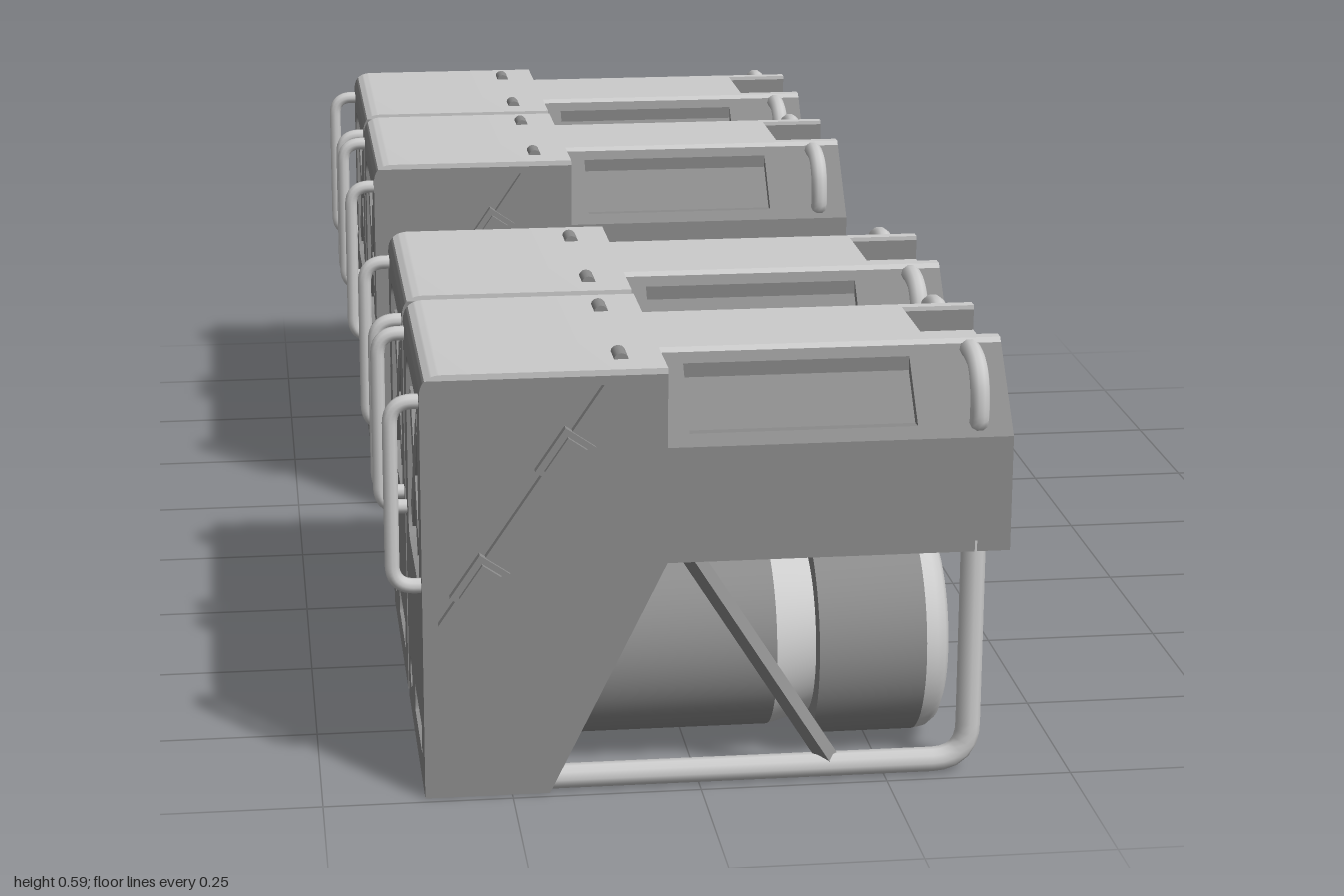
import * as THREE from 'three';
import { toCreasedNormals } from 'three/addons/utils/BufferGeometryUtils.js';

const light = new THREE.MeshStandardMaterial({ color: 0xcccccc });
const dark = new THREE.MeshStandardMaterial({ color: 0x8c8c8c });
const HALF = 0.185; // half width of one unit
const SKIN = 0.012; // thickness of the outer plates

function add(parent, name, material, geometry, x = 0, y = 0, z = 0) {
  const mesh = new THREE.Mesh(geometry, material);
  mesh.name = name;
  mesh.position.set(x, y, z);
  parent.add(mesh);
  return mesh;
}

const vectors = (pts) => pts.map(([x, y]) => new THREE.Vector2(x, y));

function extrude(shape, depth) {
  const g = new THREE.ExtrudeGeometry(shape, { depth, bevelEnabled: false, curveSegments: 8 });
  return toCreasedNormals(g, 0.6);
}

// Extrudes a cross-section (-z, y) along x
const extrudeX = (shape, x0, x1) => extrude(shape, x1 - x0).rotateY(Math.PI / 2).translate(x0, 0, 0);

// Round tube along straight runs with rounded corners
function bentTube(points, bend, radius) {
  const p = points.map((a) => new THREE.Vector3(...a));
  const path = new THREE.CurvePath();
  let last = p[0];
  for (let i = 1; i < p.length - 1; i++) {
    const a = p[i].clone().add(p[i - 1].clone().sub(p[i]).setLength(bend));
    const b = p[i].clone().add(p[i + 1].clone().sub(p[i]).setLength(bend));
    path.add(new THREE.LineCurve3(last, a));
    path.add(new THREE.QuadraticBezierCurve3(a, p[i], b));
    last = b;
  }
  path.add(new THREE.LineCurve3(last, p[p.length - 1]));
  return new THREE.TubeGeometry(path, 64, radius, 10);
}

function roundedHole(cx, cy, w, h, r) {
  const s = new THREE.Path();
  const x0 = cx - w / 2, x1 = cx + w / 2, y0 = cy - h / 2, y1 = cy + h / 2;
  s.moveTo(x0 + r, y0);
  s.lineTo(x1 - r, y0).quadraticCurveTo(x1, y0, x1, y0 + r);
  s.lineTo(x1, y1 - r).quadraticCurveTo(x1, y1, x1 - r, y1);
  s.lineTo(x0 + r, y1).quadraticCurveTo(x0, y1, x0, y1 - r);
  s.lineTo(x0, y0 + r).quadraticCurveTo(x0, y0, x0 + r, y0);
  return s;
}

// Side outline of the cab below the roof; back is the x of its rear wall
function cabProfile(back) {
  const s = new THREE.Shape();
  s.moveTo(back, 0);
  s.lineTo(-0.2, 0).lineTo(-0.045, 0.315).lineTo(-0.045, 0.572).lineTo(-0.358, 0.572);
  s.quadraticCurveTo(-0.365, 0.565, -0.365, 0.55);
  s.lineTo(back, 0.55).lineTo(back, 0);
  return s;
}

function buildCab(unit) {
  const cab = new THREE.Group();
  cab.name = 'cab';
  unit.add(cab);
  const inner = HALF - SKIN;
  add(cab, 'cabCore', dark, extrude(cabProfile(-0.365 + SKIN), inner * 2), 0, 0, -inner);

  const roof = new THREE.Shape();
  roof.moveTo(-0.045, 0.572);
  roof.lineTo(-0.045, 0.58).lineTo(-0.335, 0.58).quadraticCurveTo(-0.35, 0.58, -0.358, 0.572);
  add(cab, 'cabRoof', light, extrude(roof, HALF * 2), 0, 0, -HALF);

  // Side skins with a sunken triangular panel
  const skin = cabProfile(-0.365);
  const hole = new THREE.Path();
  hole.moveTo(-0.345, 0.24);
  hole.lineTo(-0.345, 0.53).quadraticCurveTo(-0.345, 0.56, -0.315, 0.56);
  hole.lineTo(-0.127, 0.56).lineTo(-0.345, 0.24);
  skin.holes.push(hole);
  for (const side of [-1, 1]) {
    add(cab, 'cabSkin', dark, extrude(skin, SKIN), 0, 0, side > 0 ? inner : -HALF);
    // Latches along the diagonal seam
    for (const [x, y] of [[-0.178, 0.463], [-0.29, 0.295]]) {
      const latch = new THREE.Group();
      latch.name = 'latch';
      latch.position.set(x, y, side * 0.184);
      latch.rotation.z = 0.97;
      add(latch, 'latchPlate', dark, new THREE.BoxGeometry(0.07, 0.048, 0.012));
      add(latch, 'latchClasp', dark, new THREE.BoxGeometry(0.054, 0.03, 0.012), 0, 0, side * 0.007);
      cab.add(latch);
    }
    // Rear grab handles
    const grip = [[-0.36, 0.29, 0], [-0.402, 0.29, 0], [-0.402, 0.54, 0], [-0.36, 0.54, 0]];
    add(cab, 'rearHandle', light, bentTube(grip, 0.03, 0.01), 0, 0, side * 0.163);
    // Roof lugs
    add(cab, 'roofLug', dark, new THREE.CylinderGeometry(0.01, 0.01, 0.04, 12), -0.1, 0.578, side * 0.118)
      .rotation.x = Math.PI / 2;
  }

  // Rear plate with sunken hatch, vent slot and round port
  const rear = new THREE.Shape(vectors([[-inner, 0], [inner, 0], [inner, 0.55], [-inner, 0.55]]));
  const port = new THREE.Path();
  port.absarc(0.12, 0.06, 0.022, 0, Math.PI * 2);
  rear.holes.push(roundedHole(0, 0.395, 0.25, 0.26, 0.035), roundedHole(-0.05, 0.06, 0.155, 0.04, 0.005), port);
  add(cab, 'rearPlate', dark, extrudeX(rear, -0.365, -0.365 + SKIN));
  for (const side of [-1, 1]) {
    add(cab, 'hatchRib', dark, new THREE.BoxGeometry(0.012, 0.23, 0.036), -0.357, 0.395, 0).rotation.x = side * 0.7;
  }
}

function buildHousing(unit) {
  const housing = new THREE.Group();
  housing.name = 'housing';
  unit.add(housing);
  const w = HALF - 0.001, base = [w, 0.315], low = [w, 0.472], high = [0.0935, 0.574];
  // Point on the sloping shoulder, sunk by d
  const shoulder = (t, d) => {
    const dx = high[0] - low[0], dy = high[1] - low[1], l = Math.hypot(dx, dy);
    return [low[0] + dx * t - (dy / l) * d, low[1] + dy * t + (dx / l) * d];
  };
  // Mirrors the right half of a cross-section
  const section = (half) => new THREE.Shape(vectors([...half, ...half.map(([z, y]) => [-z, y]).reverse()]));
  const plain = section([base, low, high]);
  const pockets = section([base, low, shoulder(0.14, 0), shoulder(0.22, 0.014), shoulder(0.78, 0.014), shoulder(0.88, 0), high]);
  const notched = section([base, low, high, [0.072, 0.574], [0.072, 0.543]]);
  add(housing, 'housingRear', dark, extrudeX(plain, -0.045, -0.015));
  add(housing, 'housingPockets', dark, extrudeX(pockets, -0.015, 0.285));
  add(housing, 'housingMiddle', dark, extrudeX(plain, 0.285, 0.31));
  add(housing, 'housingNose', dark, extrudeX(notched, 0.31, 0.41));

  // Light top surfaces around and inside the nose recess
  add(housing, 'housingRoof', light, extrudeX(section([high, [0.088, 0.58]]), -0.045, 0.31));
  add(housing, 'recessFloor', light, new THREE.BoxGeometry(0.1, 0.004, 0.144), 0.36, 0.543, 0);
  for (const s of [-1, 1]) {
    const strip = [high, [0.088, 0.58], [0.072, 0.58], [0.072, 0.574]].map(([z, y]) => [s * z, y]);
    add(housing, 'noseRoof', light, extrudeX(new THREE.Shape(vectors(strip)), 0.31, 0.41));
    // Lifting loops over the shoulders
    const loop = [[0.366, 0.484, s * 0.165], [0.366, 0.492, s * 0.172], [0.366, 0.54, s * 0.168],
      [0.366, 0.562, s * 0.148], [0.366, 0.568, s * 0.1], [0.366, 0.555, s * 0.09]];
    const curve = new THREE.CatmullRomCurve3(loop.map((p) => new THREE.Vector3(...p)));
    add(housing, 'liftingLoop', light, new THREE.TubeGeometry(curve, 24, 0.013, 10));
  }
}

function buildTank(unit) {
  const tank = new THREE.Group();
  tank.name = 'tank';
  tank.position.y = 0.155;
  unit.add(tank);
  // Profiles are (radius, x)
  const parts = [
    ['tankBody', dark, [[0, -0.25], [0.135, -0.25], [0.135, 0.11]]],
    ['tankNeck', light, [[0.135, 0.11], [0.12, 0.165]]],
    ['tankBand', dark, [[0.12, 0.165], [0.15, 0.165], [0.15, 0.31]]],
    ['tankCap', light, [[0.15, 0.31], [0.147, 0.326], [0.138, 0.338], [0.122, 0.345], [0.07, 0.349], [0, 0.351]]],
  ];
  for (const [name, material, profile] of parts) {
    const g = toCreasedNormals(new THREE.LatheGeometry(vectors(profile), 48), 0.6);
    add(tank, name, material, g.rotateZ(-Math.PI / 2));
  }
}

function buildFrame(unit) {
  for (const side of [-1, 1]) {
    const z = side * 0.168;
    add(unit, 'skidTube', light, bentTube([[-0.22, 0.0165, z], [0.364, 0.0165, z], [0.364, 0.33, z]], 0.05, 0.0165));
    // Square bar set on edge
    const bar = toCreasedNormals(new THREE.CylinderGeometry(0.014, 0.014, 0.365, 4), 0.6);
    add(unit, 'diagonalStrut', dark, bar, 0.081, 0.173, z).rotation.z = Math.atan2(0.19, 0.3);
  }
}

export function createModel() {
  const model = new THREE.Group();
  model.name = 'equipmentUnits';
  // Two pairs of identical units
  for (const z of [-0.803, -0.41, 0.41, 0.803]) {
    const unit = new THREE.Group();
    unit.name = 'unit';
    unit.position.z = z;
    buildCab(unit);
    buildHousing(unit);
    buildTank(unit);
    buildFrame(unit);
    model.add(unit);
  }
  return model;
}
